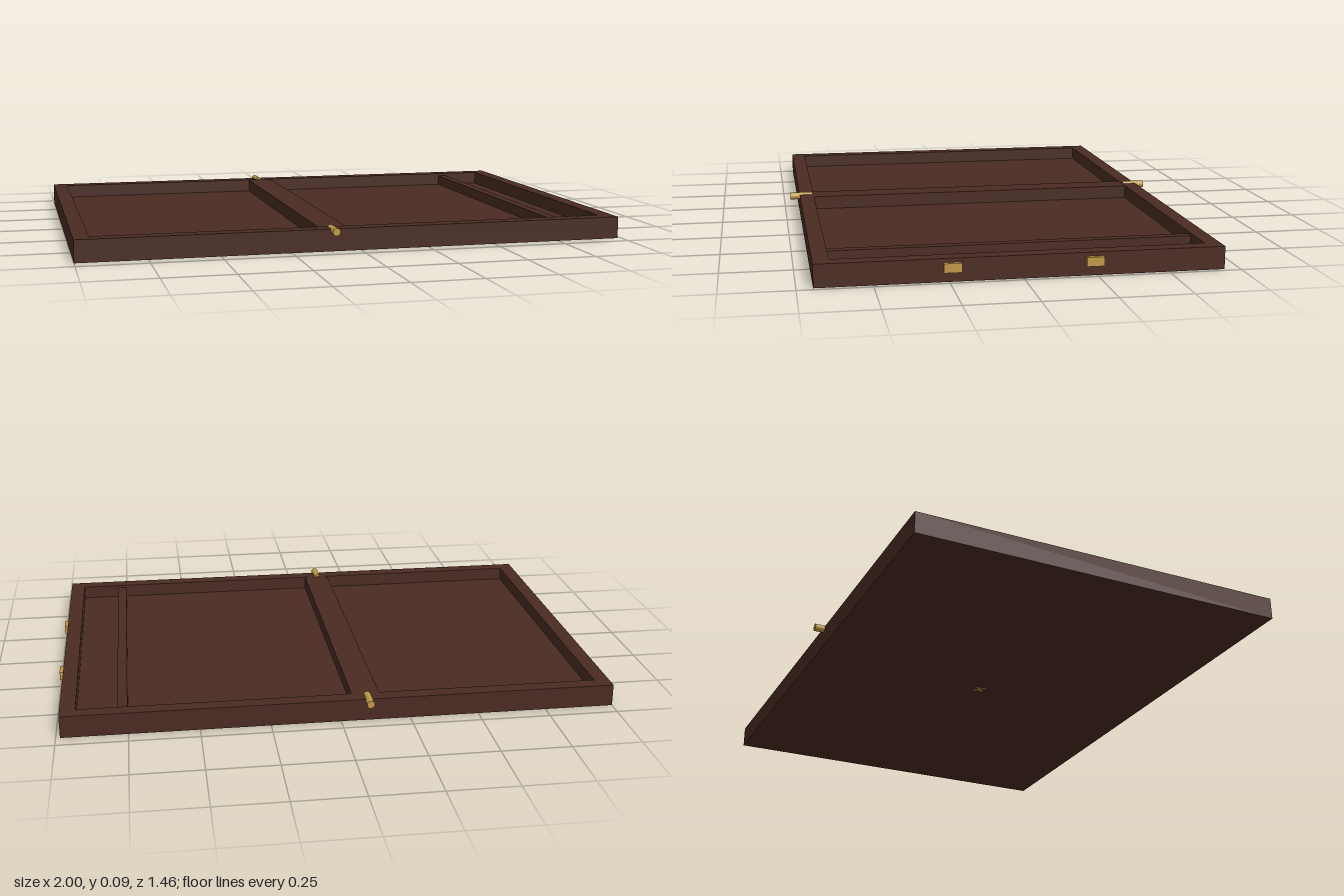
import * as THREE from 'three';

export function createModel() {
  const group = new THREE.Group();
  const wood = new THREE.MeshStandardMaterial({ name: 'dark wood', color: 0x4a2b22 });
  const brass = new THREE.MeshStandardMaterial({ name: 'brass', color: 0xc09a45 });

  const X0 = -1, X1 = 0.985, Z = 0.695, WALL = 0.055, H = 0.08, FLOOR = 0.03;

  function add(name, geometry, material, x, y, z) {
    const mesh = new THREE.Mesh(geometry, material);
    mesh.name = name;
    mesh.position.set(x, y, z);
    group.add(mesh);
    return mesh;
  }
  // Box given by its lower and upper limits
  function block(name, material, x0, x1, y0, y1, z0, z1) {
    return add(name, new THREE.BoxGeometry(x1 - x0, y1 - y0, z1 - z0), material,
      (x0 + x1) / 2, (y0 + y1) / 2, (z0 + z1) / 2);
  }

  // Tray rim: one extruded frame with a rectangular opening
  const rect = (path, x0, x1, z) => {
    path.moveTo(x0, -z);
    path.lineTo(x1, -z);
    path.lineTo(x1, z);
    path.lineTo(x0, z);
    path.closePath();
    return path;
  };
  const outline = rect(new THREE.Shape(), X0, X1, Z);
  outline.holes.push(rect(new THREE.Path(), X0 + WALL, X1 - WALL, Z - WALL));
  const rim = new THREE.ExtrudeGeometry(outline, { depth: H, bevelEnabled: false });
  rim.rotateX(-Math.PI / 2);
  add('rim', rim, wood, 0, 0, 0);

  // Floor and the two dividers
  const inner = Z - WALL;
  block('floor', wood, X0 + WALL, X1 - WALL, 0, FLOOR, -inner, inner);
  block('centreBar', wood, -0.145, -0.045, FLOOR, H - 0.001, -inner, inner);
  block('narrowDivider', wood, 0.75, 0.785, FLOOR, 0.07, -inner, inner);

  // Hinge pins and side catches, mirrored front to back
  for (const s of [1, -1]) {
    const pin = new THREE.CylinderGeometry(0.014, 0.014, 0.087, 16);
    pin.rotateX(Math.PI / 2);
    add('hingePin', pin, brass, -0.1, 0.074, s * 0.6875);
    block('catch', brass, 0.98, 1, 0.034, 0.066, s * 0.24 - 0.03, s * 0.24 + 0.03);
  }

  // Small crossed fitting flush under the floor
  for (const s of [1, -1]) {
    const bar = add('undersideFitting', new THREE.BoxGeometry(0.05, 0.004, 0.008), brass, 0, 0.0015, 0);
    bar.rotation.y = s * Math.PI / 4;
  }

  return group;
}
